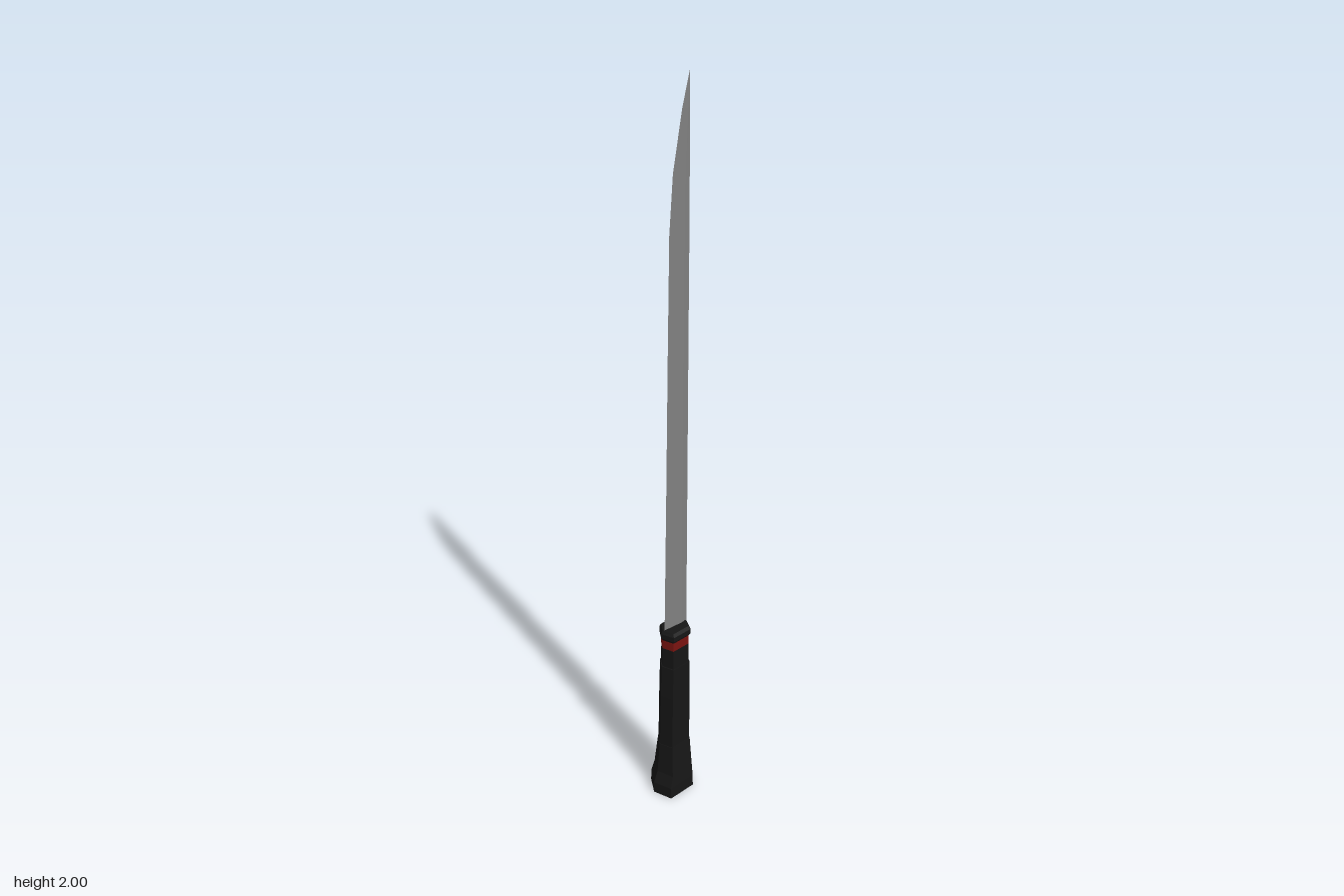
import * as THREE from 'three';

// Cross-sections seen from above, counter-clockwise: x from -1 to 1, z from -1 to 1
const GRIP_SECTION = [[1, -0.1], [0.76, -1], [-0.55, -1], [-1, -0.1], [-0.74, 1], [0.6, 1]];
const BLADE_SECTION = [[1, -0.5], [0.5, -1], [-1, 0], [0.5, 1], [1, 0.5]];

// Closed loft through levels of [y, xMin, xMax, halfDepth]
function loft(name, color, section, levels) {
  const n = section.length, position = [], index = [];
  for (const [y, x0, x1, depth] of levels) {
    for (const [u, w] of section) {
      position.push((x0 + x1) / 2 + u * (x1 - x0) / 2, y, w * depth);
    }
  }
  for (let k = 0; k < levels.length - 1; k++) {
    for (let i = 0; i < n; i++) {
      const a = k * n + i, b = k * n + (i + 1) % n;
      index.push(a, b, b + n, a, b + n, a + n);
    }
  }
  const top = (levels.length - 1) * n;
  for (let i = 1; i < n - 1; i++) {
    index.push(0, i + 1, i, top, top + i, top + i + 1);
  }
  const indexed = new THREE.BufferGeometry();
  indexed.setAttribute('position', new THREE.Float32BufferAttribute(position, 3));
  indexed.setIndex(index);
  const geometry = indexed.toNonIndexed();
  geometry.computeVertexNormals();
  const mesh = new THREE.Mesh(geometry, new THREE.MeshStandardMaterial({ color, flatShading: true }));
  mesh.name = name;
  return mesh;
}

export function createModel() {
  const model = new THREE.Group();
  model.name = 'sword';
  const black = 0x161616;

  // Flared pommel
  model.add(loft('pommel', black, GRIP_SECTION, [
    [0, -0.063, 0.061, 0.048], [0.035, -0.063, 0.061, 0.047],
    [0.07, -0.05, 0.058, 0.043], [0.165, -0.042, 0.055, 0.034],
  ]));
  // Long tapering grip
  model.add(loft('grip', black, GRIP_SECTION, [
    [0.165, -0.041, 0.054, 0.033], [0.33, -0.037, 0.053, 0.032], [0.43, -0.034, 0.053, 0.031],
  ]));
  // Narrower neck below the band
  model.add(loft('neck', black, GRIP_SECTION, [
    [0.43, -0.031, 0.05, 0.029], [0.49, -0.03, 0.05, 0.028],
  ]));
  // Red band
  model.add(loft('band', 0x7a1410, GRIP_SECTION, [
    [0.49, -0.031, 0.05, 0.029], [0.518, -0.031, 0.05, 0.029],
  ]));
  // Bevelled collar
  model.add(loft('collar', black, GRIP_SECTION, [
    [0.515, -0.03, 0.05, 0.028], [0.524, -0.035, 0.055, 0.033],
    [0.538, -0.035, 0.055, 0.033], [0.547, -0.03, 0.05, 0.028],
  ]));
  // Single-edged blade, sweeping up to a point on the spine side
  model.add(loft('blade', 0x808080, BLADE_SECTION, [
    [0.53, -0.026, 0.05, 0.005], [0.95, -0.019, 0.051, 0.004],
    [1.35, -0.013, 0.052, 0.003], [1.64, -0.008, 0.053, 0.0025],
    [1.78, 0.003, 0.053, 0.002], [1.92, 0.03, 0.053, 0.0015],
    [2, 0.052, 0.053, 0.0005],
  ]));
  return model;
}
